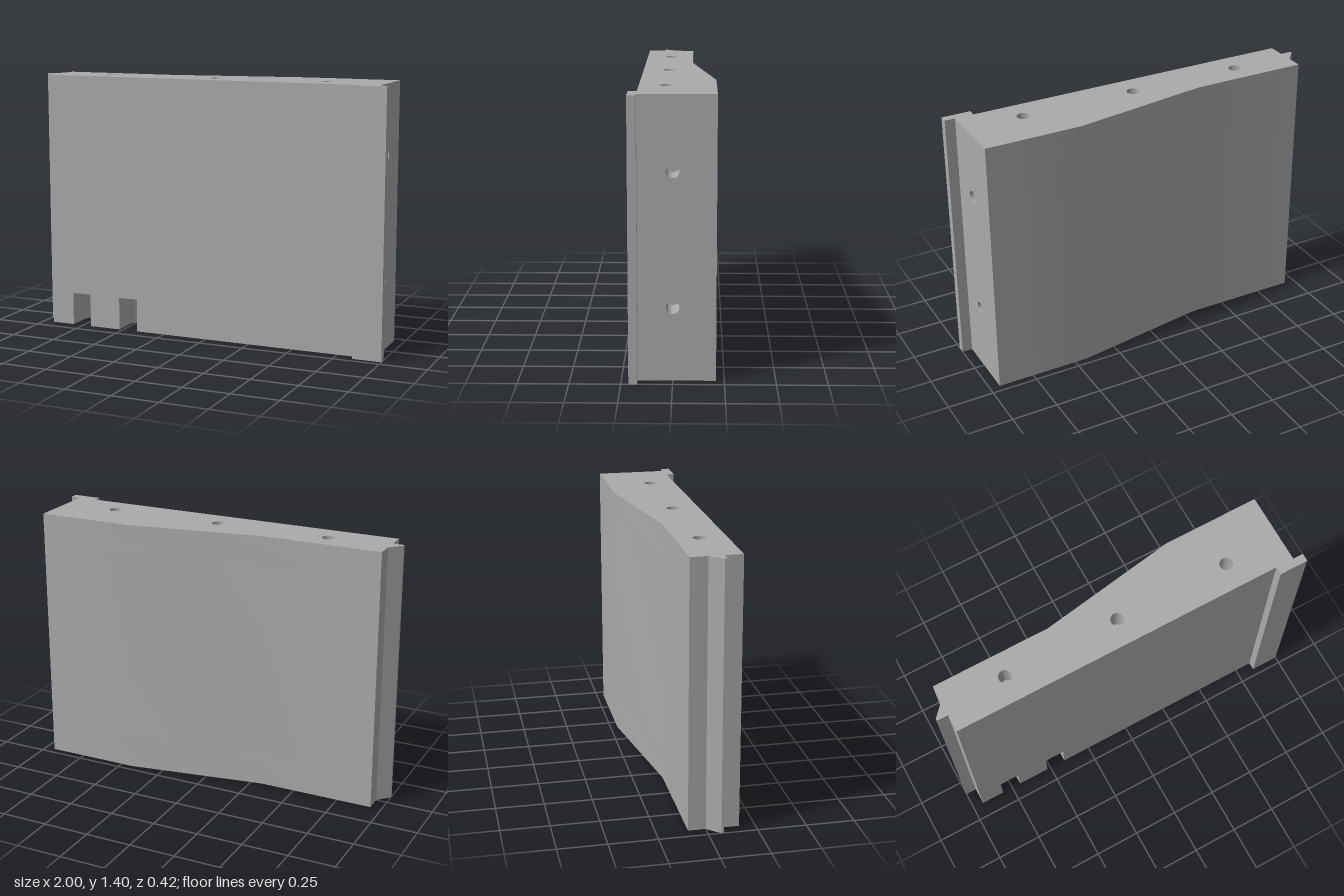
import * as THREE from 'three';
import { toCreasedNormals } from 'three/addons/utils/BufferGeometryUtils.js';

const H = 1.4, SLOT_H = 0.18, HOLE_D = 0.15;
const LEFT = -0.94, RIGHT = 0.945, FRONT = 0.17, BACK = -0.21;
const SPLIT = RIGHT - HOLE_D; // the drilled side section starts here

export function createModel() {
  const group = new THREE.Group();
  const grey = new THREE.MeshStandardMaterial({ color: 0xaaaaaa });
  grey.name = 'grey';

  const add = (name, geometry) => {
    const mesh = new THREE.Mesh(toCreasedNormals(geometry, 0.5), grey);
    mesh.name = name;
    group.add(mesh);
  };
  const extrude = (shape, depth) =>
    new THREE.ExtrudeGeometry(shape, { depth, bevelEnabled: false, curveSegments: 20 });
  // Plan shapes use (x, -z) and rise from y0 to y1
  const rise = (shape, y0, y1) =>
    extrude(shape, y1 - y0).rotateX(-Math.PI / 2).translate(0, y0, 0);
  const polygon = (points) =>
    new THREE.Shape(points.map(([x, z]) => new THREE.Vector2(x, -z)));
  const drill = (shape, x, y, r) =>
    shape.holes.push(new THREE.Path().absarc(x, y, r, 0, Math.PI * 2, true));

  // Panel outline with its sloping back, optionally with round-ended front slots
  const plan = (slots = []) => {
    const s = new THREE.Shape();
    s.moveTo(LEFT, -FRONT);
    for (const x of slots) {
      s.lineTo(x - 0.055, -FRONT);
      s.absarc(x, -0.03, 0.055, Math.PI, 0, true);
      s.lineTo(x + 0.055, -FRONT);
    }
    s.lineTo(SPLIT, -FRONT);
    s.lineTo(SPLIT, -BACK);
    s.lineTo(0.43, -BACK);
    s.lineTo(-0.31, 0.09);
    s.lineTo(LEFT, 0.09);
    return s;
  };

  add('slottedBase', rise(plan([-0.755, -0.465]), 0, SLOT_H));
  add('panelBody', rise(plan(), SLOT_H, H - HOLE_D));

  // Top layer with three blind holes
  const top = plan();
  for (const x of [-0.61, 0.012, 0.635]) drill(top, x, -0.033, 0.034);
  add('drilledTop', rise(top, H - HOLE_D, H));

  // Thick side section with two blind holes, extruded along x
  const side = new THREE.Shape([
    [-FRONT, 0], [-BACK, 0], [-BACK, H], [-FRONT, H],
  ].map(([x, y]) => new THREE.Vector2(x, y)));
  for (const y of [0.37, 1.035]) drill(side, 0, y, 0.033);
  add('drilledSide', extrude(side, HOLE_D).rotateY(Math.PI / 2).translate(SPLIT, 0, 0));
  // Floor of the side holes is the end of the panel body

  // Overlapping lip on the front edge
  add('frontLip', rise(polygon([[0.845, FRONT], [0.845, 0.213], [1, 0.213], [1, FRONT]]), 0, H));

  // Wedge-shaped tongue along the thin edge
  add('edgeTongue', rise(polygon([[LEFT, 0], [-1, 0.064], [-1, 0.077], [LEFT, 0.077]]), 0, H));

  return group;
}
